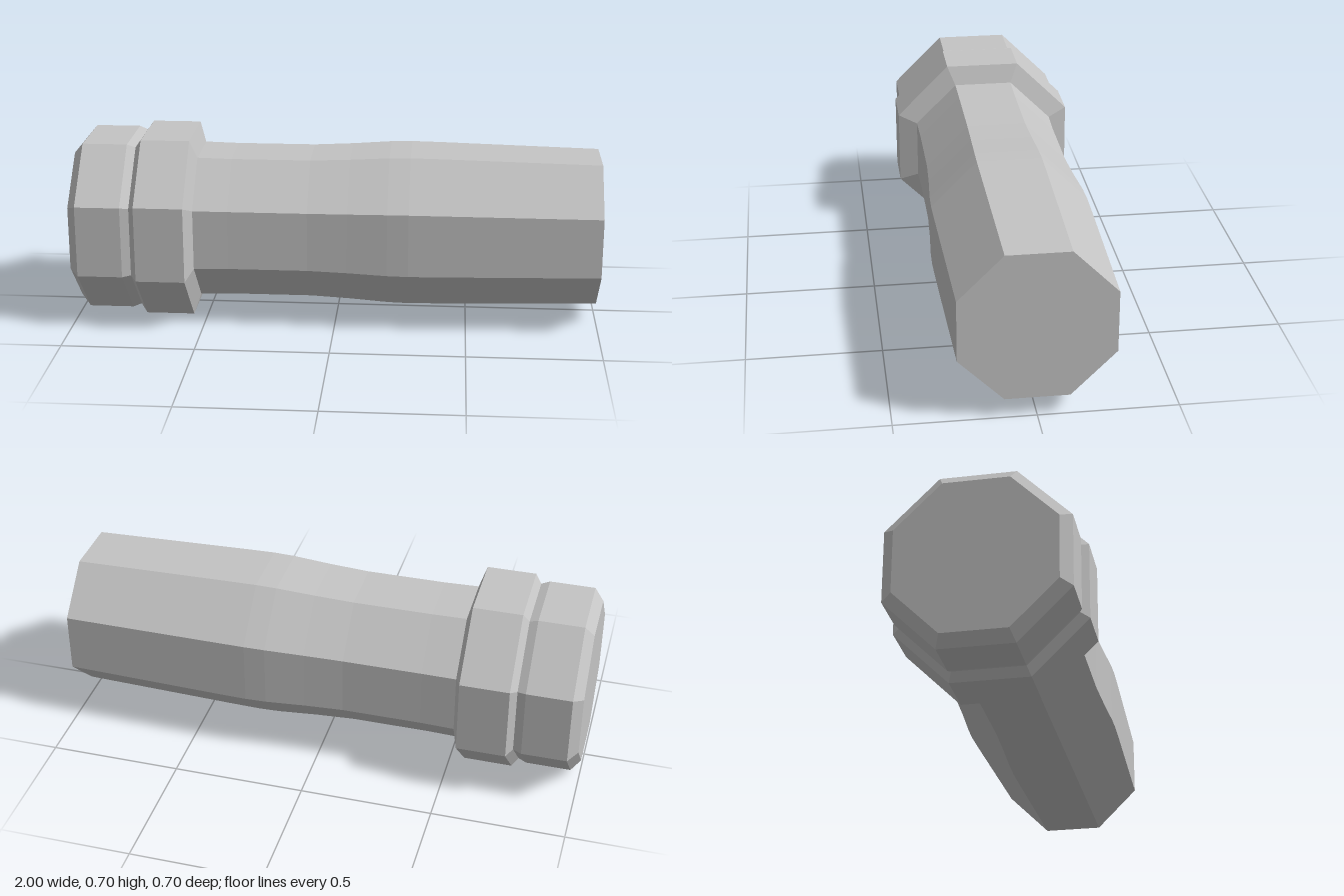
import * as THREE from 'three';

const SIDES = 8;
const AXIS_Y = 0.349;

// Octagonal turned section along x; profile is [x, distance from axis to flat side]
function turned(name, profile, material) {
  const k = 1 / Math.cos(Math.PI / SIDES);
  const points = profile.map(([x, apothem]) => new THREE.Vector2(apothem * k, x));
  const geometry = new THREE.LatheGeometry(points, SIDES, Math.PI / SIDES);
  geometry.rotateZ(-Math.PI / 2);
  const mesh = new THREE.Mesh(geometry, material);
  mesh.name = name;
  mesh.position.y = AXIS_Y;
  return mesh;
}

export function createModel() {
  const model = new THREE.Group();
  model.name = 'handle';
  const grey = new THREE.MeshStandardMaterial({ color: 0xc4c4c4, flatShading: true });
  grey.name = 'light grey';

  // Bevelled end knob, closed at its outer end
  model.add(turned('endKnob', [
    [-1, 0], [-1, 0.288], [-0.965, 0.329], [-0.795, 0.329], [-0.763, 0.317],
  ], grey));

  // Wider collar, chamfered down to the grip
  model.add(turned('collar', [
    [-0.763, 0.317], [-0.74, 0.349], [-0.555, 0.349], [-0.53, 0.276],
  ], grey));

  // Long grip with a slight waist and swell, closed by a flat cap
  model.add(turned('grip', [
    [-0.53, 0.276], [-0.4, 0.273], [-0.1, 0.273], [0.05, 0.28], [0.2, 0.29],
    [0.28, 0.292], [0.4, 0.29], [1, 0.276], [1, 0],
  ], grey));

  return model;
}
